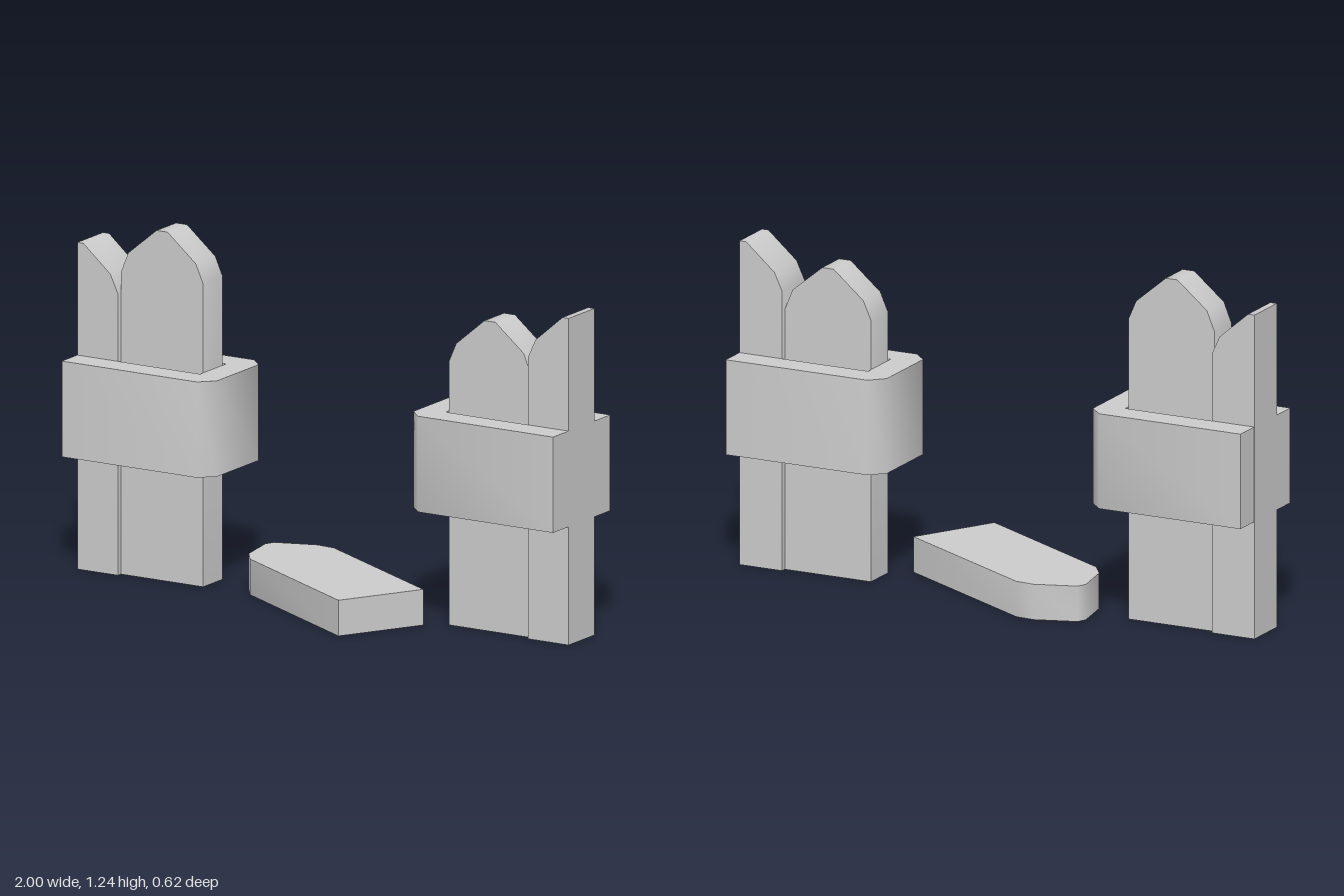
import * as THREE from 'three';
import { toCreasedNormals } from 'three/addons/utils/BufferGeometryUtils.js';

const material = new THREE.MeshStandardMaterial({ color: 0xcccccc });

// Extrude an outline of [x, y] points; bevelled corners are shaded softly.
function extrude(points, depth) {
  const shape = new THREE.Shape(points.map(([x, y]) => new THREE.Vector2(x, y)));
  return new THREE.ExtrudeGeometry(shape, { depth, bevelEnabled: false });
}

function part(name, geometry) {
  const mesh = new THREE.Mesh(toCreasedNormals(geometry, THREE.MathUtils.degToRad(52)), material);
  mesh.name = name;
  return mesh;
}

// Upright board: outline in x/y, thickness from zBack to zFront.
function upright(name, points, zBack, zFront) {
  return part(name, extrude(points, zFront - zBack).translate(0, 0, zBack));
}

// Flat-lying part: outline in x/z, thickness from y0 to y1.
function flat(name, points, y0, y1) {
  const geometry = extrude(points.map(([x, z]) => [x, -z]), y1 - y0);
  return part(name, geometry.rotateX(-Math.PI / 2).translate(0, y0, 0));
}

// One fence end: half post, full picket and the rail wrapped around them.
function fenceEnd(name, side, picketTop) {
  const group = new THREE.Group();
  group.name = name;
  const mirror = (points) => points.map(([x, v]) => [side * x, v]);

  group.add(upright('halfPost', mirror([
    [1, 0], [1, 1.16], [0.975, 1.16], [0.865, 1.065], [0.835, 1], [0.835, 0],
  ]), -0.173, -0.007));

  const t = picketTop;
  group.add(upright('picket', mirror([
    [0.835, 0], [0.835, t - 0.168], [0.805, t - 0.095], [0.69, t],
    [0.645, t], [0.53, t - 0.097], [0.5, t - 0.165], [0.5, 0],
  ]), -0.153, -0.027));

  group.add(flat('rail', mirror([
    [1, 0.093], [0.45, 0.093], [0.4, 0.043], [0.4, -0.226], [0.45, -0.276], [1, -0.276],
    [1, -0.175], [0.5, -0.175], [0.5, -0.007], [1, -0.007],
  ]), 0.42, 0.76));
  return group;
}

export function createModel() {
  const model = new THREE.Group();
  model.name = 'brokenFence';
  model.add(fenceEnd('rightFenceEnd', -1, 1.24));
  model.add(fenceEnd('leftFenceEnd', 1, 1.1));

  // Board lying on the ground in the gap
  model.add(flat('fallenBoard', [
    [-0.375, -0.23], [-0.36, -0.263], [-0.215, -0.312], [-0.145, -0.307],
    [0.427, 0.022], [0.262, 0.308], [-0.305, -0.02], [-0.35, -0.083],
  ], 0, 0.127));
  return model;
}
